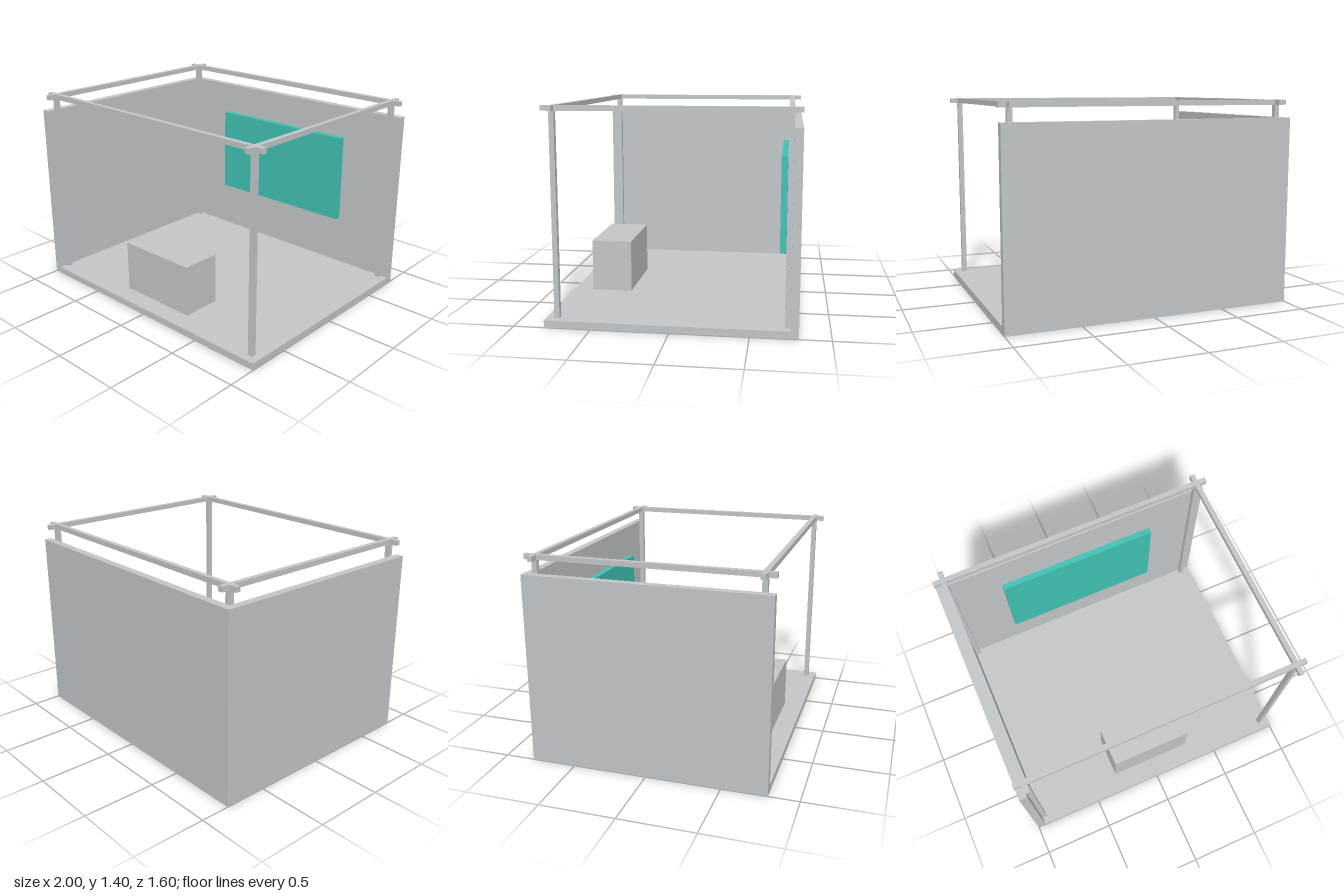
import * as THREE from 'three';

export function createModel() {
  const model = new THREE.Group();
  model.name = 'exhibitionBooth';
  const grey = new THREE.MeshStandardMaterial({ name: 'light grey', color: 0xc2c6c8 });
  const teal = new THREE.MeshStandardMaterial({ name: 'teal', color: 0x40c1b2 });

  // Box given by its lower and upper limits on each axis
  function box(name, [x0, x1], [y0, y1], [z0, z1], material = grey) {
    const mesh = new THREE.Mesh(new THREE.BoxGeometry(x1 - x0, y1 - y0, z1 - z0), material);
    mesh.position.set((x0 + x1) / 2, (y0 + y1) / 2, (z0 + z1) / 2);
    mesh.name = name;
    model.add(mesh);
  }

  const floorTop = 0.048, wallTop = 1.28, top = 1.4, bar = 0.034;
  const postX = 0.929, postZ = 0.73;
  const around = (c) => [c - bar / 2, c + bar / 2];

  // Floor and the two walls; the front and +x sides stay open
  box('floor', [-1, 1], [0, floorTop], [-0.8, 0.8]);
  box('backWall', [-1, 1], [floorTop, wallTop], [-0.8, -0.747]);
  box('sideWall', [-1, -0.946], [floorTop, wallTop], [-0.747, 0.8]);

  // Corner posts
  for (const sx of [-1, 1]) {
    for (const sz of [-1, 1]) {
      box('post', around(sx * postX), [floorTop, top - bar], around(sz * postZ));
    }
  }

  // Roof frame: bars cross at the corners and run on to the floor's outline
  const roof = [top - bar, top];
  for (const s of [-1, 1]) {
    box('crossBeam', [-1, 1], roof, around(s * postZ));
    const inner = postZ - bar / 2, outer = postZ + bar / 2;
    box('sideBeam', around(s * postX), roof, [-inner, inner]);
    box('beamEndFront', around(s * postX), roof, [outer, 0.8]);
    box('beamEndBack', around(s * postX), roof, [-0.8, -outer]);
  }

  // Counter at the front and display panel by the back wall
  box('counter', [-0.298, 0.298], [floorTop, 0.408], [0.383, 0.663]);
  box('displayPanel', [-0.57, 0.57], [0.425, 1.063], [-0.711, -0.669], teal);

  return model;
}
